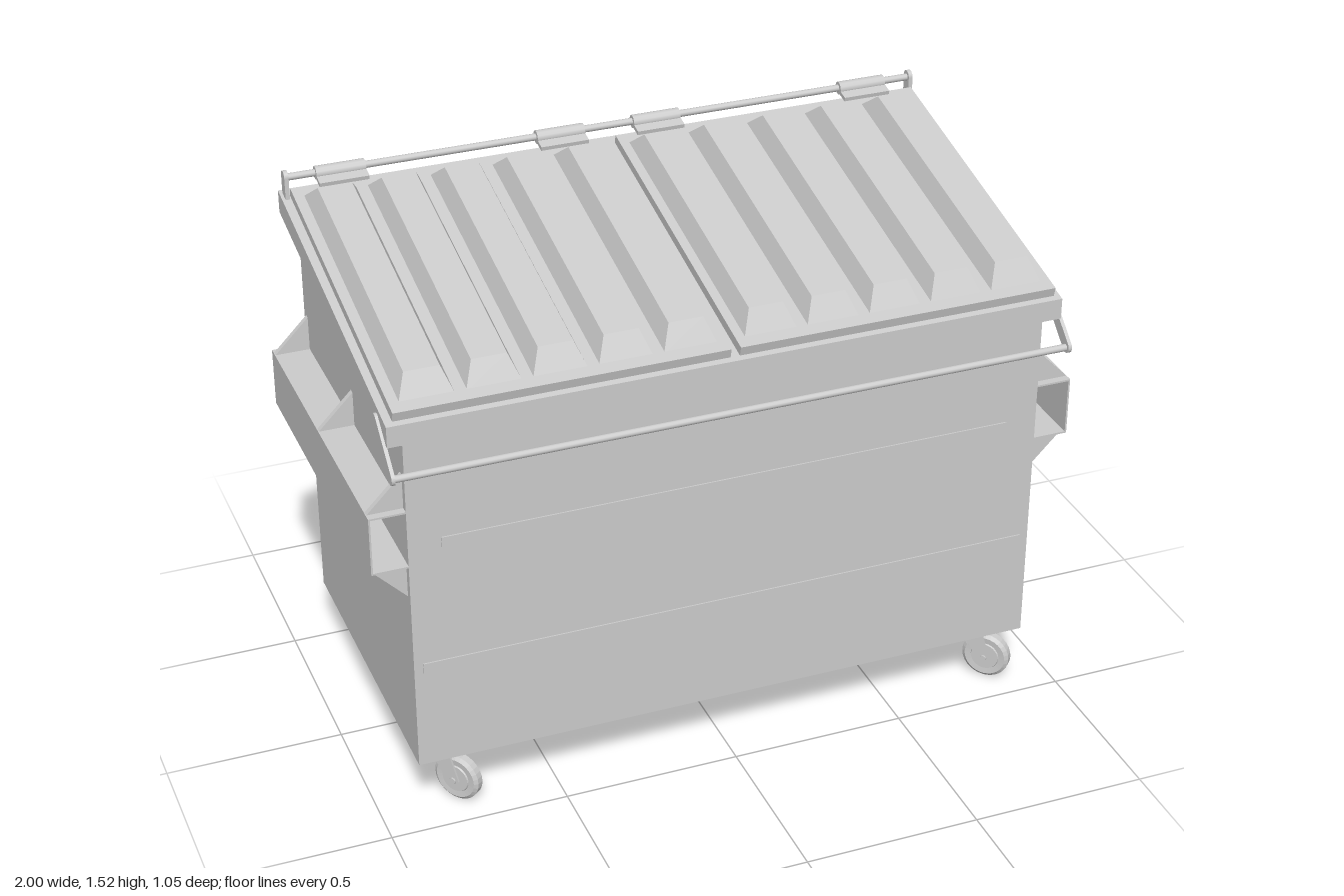
import * as THREE from 'three';

const mat = new THREE.MeshStandardMaterial({ color: 0xcccccc, flatShading: true });
const smooth = new THREE.MeshStandardMaterial({ color: 0xcccccc });

function add(parent, name, geo, x = 0, y = 0, z = 0, m = mat) {
  const mesh = new THREE.Mesh(geo, m);
  mesh.name = name;
  mesh.position.set(x, y, z);
  parent.add(mesh);
  return mesh;
}
const box = (w, h, d) => new THREE.BoxGeometry(w, h, d);

// Extrudes an outline along its own normal, centred
function plate(points, width) {
  const shape = new THREE.Shape(points.map(([a, b]) => new THREE.Vector2(a, b)));
  return new THREE.ExtrudeGeometry(shape, { depth: width, bevelEnabled: false }).translate(0, 0, -width / 2);
}
// Outline given as (z, y), extruded along x
const sidePlate = (points, width) => plate(points, width).rotateY(-Math.PI / 2);

// Rounded bar outline between two (z, y) points
function link(z0, y0, z1, y1, r, width) {
  const a = Math.atan2(y1 - y0, z1 - z0);
  const shape = new THREE.Shape();
  shape.absarc(z1, y1, r, a - Math.PI / 2, a + Math.PI / 2, false);
  shape.absarc(z0, y0, r, a + Math.PI / 2, a + Math.PI * 1.5, false);
  return new THREE.ExtrudeGeometry(shape, { depth: width, bevelEnabled: false, curveSegments: 8 })
    .translate(0, 0, -width / 2).rotateY(-Math.PI / 2);
}
const rod = (r, length) => new THREE.CylinderGeometry(r, r, length, 12).rotateZ(Math.PI / 2);

const lidTop = z => 1.285 + (0.46 - z) * 0.216;

// Tapered rib that follows the slope of the lid
function ribGeometry() {
  const geo = box(0.15, 1, 0.86);
  const p = geo.attributes.position;
  for (let i = 0; i < p.count; i++) {
    const top = p.getY(i) > 0;
    let z = p.getZ(i);
    if (top) {
      z = z > 0 ? 0.392 : -0.37;
      p.setX(i, p.getX(i) * 0.64);
    }
    p.setZ(i, z);
    p.setY(i, lidTop(z) + (top ? 0.055 : -0.005));
  }
  geo.computeVertexNormals();
  return geo;
}

// Swivel caster: pivot at the origin, wheel trailing towards local +z
function caster() {
  const g = new THREE.Group();
  g.name = 'caster';
  const profile = [[0, -0.02], [0.04, -0.02], [0.042, -0.016], [0.06, -0.018], [0.07, -0.01],
    [0.07, 0.01], [0.06, 0.018], [0.042, 0.016], [0.04, 0.02], [0, 0.02]];
  const wheel = new THREE.LatheGeometry(profile.map(([r, y]) => new THREE.Vector2(r, y)), 28);
  add(g, 'wheel', wheel.rotateZ(Math.PI / 2), 0, 0.07, 0.05);
  add(g, 'axle', rod(0.01, 0.07), 0, 0.07, 0.05, smooth);
  for (const s of [-1, 1]) {
    const cheek = [[-0.035, 0.17], [0.035, 0.17], [0.068, 0.07], [0.05, 0.054], [0.032, 0.062]];
    add(g, 'forkCheek', sidePlate(cheek, 0.006), s * 0.027, 0, 0);
  }
  add(g, 'forkTop', box(0.06, 0.012, 0.07), 0, 0.168, 0);
  add(g, 'swivel', new THREE.CylinderGeometry(0.03, 0.03, 0.012, 16), 0, 0.176, 0);
  return g;
}

export function createModel() {
  const model = new THREE.Group();
  model.name = 'dumpster';

  // Body, with side walls standing proud of the back panel
  add(model, 'body', sidePlate([[0.45, 0.18], [0.45, 1.22], [-0.475, 1.41], [-0.475, 0.18]], 1.78));
  for (const s of [-1, 1]) {
    add(model, 'sideWall', sidePlate([[0.45, 0.18], [0.45, 1.22], [-0.505, 1.416], [-0.505, 0.18]], 0.012), s * 0.894);
  }
  add(model, 'rim', sidePlate([[0.47, 1.19], [0.47, 1.25], [-0.525, 1.455], [-0.525, 1.39]], 1.89));

  // Horizontal stiffeners
  for (const [y, w] of [[0.87, 1.62], [0.49, 1.75]]) {
    add(model, 'frontStiffener', box(w, 0.03, 0.01), 0, y, 0.449);
    add(model, 'backStiffener', box(1.776, 0.03, 0.03), 0, y, -0.48);
  }

  // Fork pockets and gussets
  for (const s of [-1, 1]) {
    const pocket = new THREE.Group();
    pocket.name = 'forkPocket';
    model.add(pocket);
    const midZ = -0.0275, len = 0.955;
    add(pocket, 'pocketOuter', box(0.005, 0.17, len), s * 0.9975, 0.895, midZ);
    for (const y of [0.8125, 0.9775]) add(pocket, 'pocketFlange', box(0.1, 0.005, len), s * 0.95, y, midZ);
    for (const z of [0.42, -0.03, -0.48]) {
      for (const [y, d] of [[0.98, 0.1], [0.81, -0.1]]) {
        // Keep the outline counter-clockwise on either side
        const tri = [[s * 0.9, y], [s * 0.998, y], [s * 0.9, y + d]];
        add(pocket, 'gusset', plate(tri, 0.016), 0, 0, z);
      }
    }
  }

  // Two lids with five ribs each
  const rib = ribGeometry();
  for (const s of [-1, 1]) {
    const lid = new THREE.Group();
    lid.name = s > 0 ? 'leftLid' : 'rightLid';
    model.add(lid);
    const outline = [[0.458, 1.257], [0.465, 1.284], [-0.465, 1.485], [-0.47, 1.46]];
    add(lid, 'lidPanel', sidePlate(outline, 0.912), s * 0.469);
    for (let i = 0; i < 5; i++) add(lid, 'lidRib', rib, s * (0.112 + i * 0.178));
    for (const x of [0.143, 0.777]) {
      add(lid, 'hingeSleeve', rod(0.019, 0.14), s * x, 1.505, -0.493, smooth);
      add(lid, 'hingeLeaf', box(0.14, 0.012, 0.05), s * x, 1.494, -0.47).rotation.x = 0.21;
    }
  }

  // Hinge rod and its end brackets
  add(model, 'hingeRod', rod(0.01, 1.87), 0, 1.505, -0.495, smooth);
  for (const s of [-1, 1]) {
    add(model, 'hingeBracket', link(-0.495, 1.44, -0.495, 1.508, 0.017, 0.012), s * 0.93);
  }

  // Front bar on two arms
  add(model, 'frontBar', rod(0.01, 1.9), 0, 1.122, 0.51, smooth);
  for (const s of [-1, 1]) {
    add(model, 'barArm', link(0.388, 1.23, 0.51, 1.125, 0.018, 0.01), s * 0.948);
  }

  // Casters: pivot x, pivot z, trailing direction
  for (const [x, z, dx, dz] of [[0.795, 0.35, 1, 1], [-0.805, 0.35, 0.9, 1.1],
    [0.81, -0.41, -1, 1], [-0.805, -0.39, 1, -1]]) {
    const c = caster();
    c.position.set(x, 0, z);
    c.rotation.y = Math.atan2(dx, dz);
    model.add(c);
  }
  return model;
}
